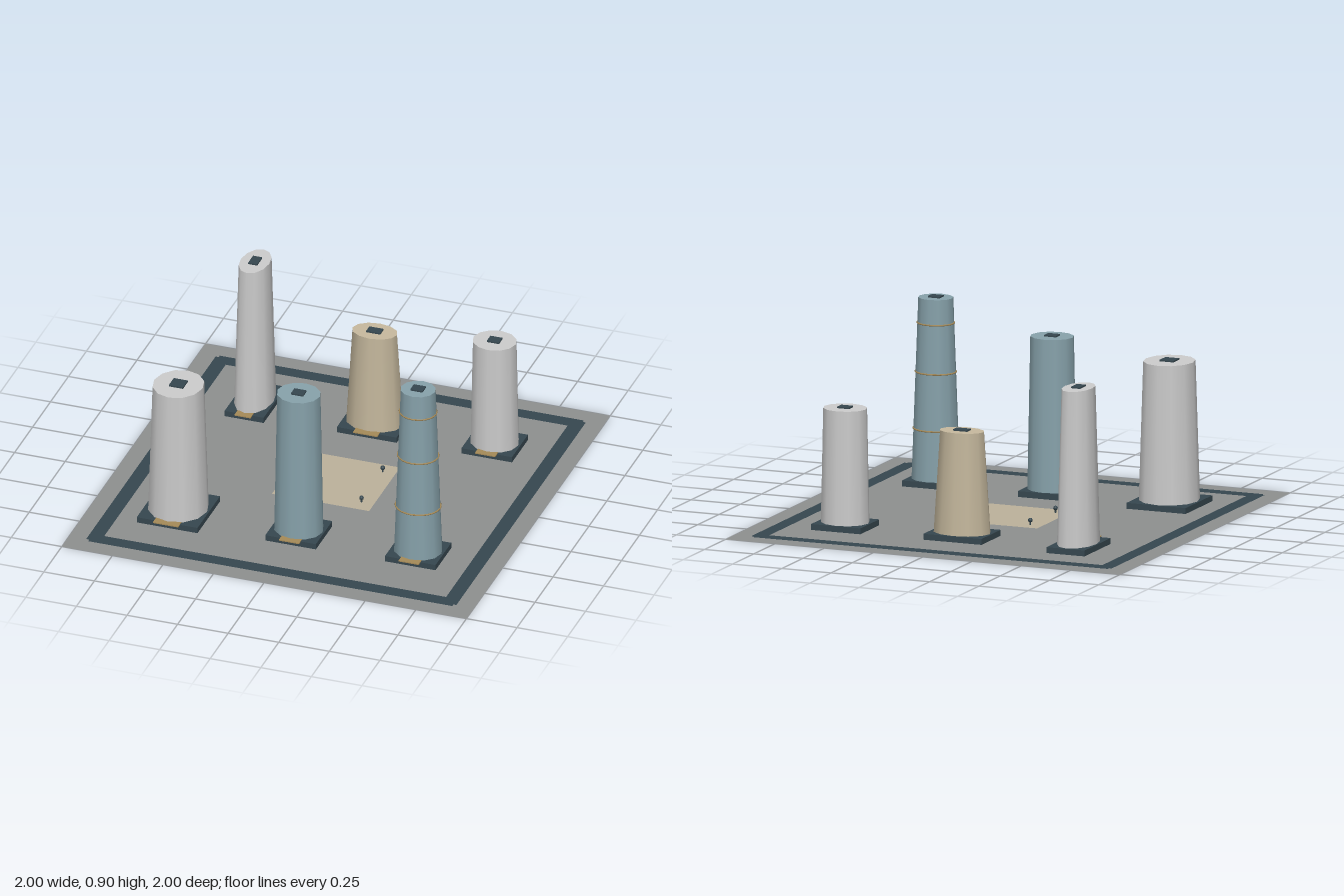
import * as THREE from 'three';

const mat = (color, side = THREE.FrontSide) => new THREE.MeshStandardMaterial({ color, side });
const slate = mat(0x36474f), pale = mat(0xcbcfcb), blue = mat(0x87a2ab);
const sand = mat(0xc6b99e), bronze = mat(0xa58a58);
const paving = mat(0x8e908f, THREE.DoubleSide), path = mat(0x36474f, THREE.DoubleSide);
const plazaStone = mat(0xbcb19a, THREE.DoubleSide);

function add(parent, name, geometry, material, x = 0, y = 0, z = 0) {
  const mesh = new THREE.Mesh(geometry, material);
  mesh.name = name;
  mesh.position.set(x, y, z);
  parent.add(mesh);
  return mesh;
}

const flat = (w, d) => new THREE.PlaneGeometry(w, d).rotateX(-Math.PI / 2);

// Tapered oval tower on a plinth, with roof hatch, entrance step and optional bands
function tower({ name, x, z, plinth: [pw, pd], base: [bw, bd], roof: [rw, rd], height, material, step, hatch, bands = [] }) {
  const g = new THREE.Group();
  g.name = name;
  g.position.set(x, 0, z);
  const y0 = 0.03;
  add(g, 'plinth', new THREE.BoxGeometry(pw, 0.028, pd), slate, 0, 0.016, 0);

  // Unit cylinder stretched to the oval found at each height
  const size = (t) => [THREE.MathUtils.lerp(bw, rw, t), THREE.MathUtils.lerp(bd, rd, t)];
  const shaft = new THREE.CylinderGeometry(0.5, 0.5, height - y0, 12, 1);
  const p = shaft.attributes.position;
  for (let i = 0; i < p.count; i++) {
    const [w, d] = size(p.getY(i) > 0 ? 1 : 0);
    p.setX(i, p.getX(i) * w);
    p.setZ(i, p.getZ(i) * d);
  }
  add(g, 'shaft', shaft, material, 0, (height + y0) / 2, 0);

  add(g, 'roofHatch', new THREE.BoxGeometry(hatch[0], 0.01, hatch[1]), slate, 0, height + 0.002, 0);
  add(g, 'entranceStep', new THREE.BoxGeometry(step, 0.005, 0.045), bronze, 0, 0.03, pd / 2);

  for (const y of bands) {
    const [w, d] = size((y - y0) / (height - y0));
    const ring = new THREE.TorusGeometry(0.5, 0.02, 6, 24).rotateX(Math.PI / 2);
    add(g, 'band', ring, bronze, 0, y, 0).scale.set(w, 0.2, d);
  }
  return g;
}

export function createModel() {
  const model = new THREE.Group();
  model.name = 'towerCourt';

  // Ground, border path and central plaza
  add(model, 'ground', flat(2, 2), paving);
  for (const s of [-1, 1]) {
    add(model, 'borderPath', flat(1.8, 0.07), path, 0, 0.002, s * 0.88);
    add(model, 'borderPath', flat(0.07, 1.8), path, s * 0.88, 0.0025, 0);
  }
  add(model, 'plaza', flat(0.48, 0.43), plazaStone, 0, 0.003, 0);

  // Plaza bollards
  for (const x of [-0.178, 0.178]) for (const z of [-0.15, 0.146]) {
    const bollard = new THREE.Group();
    bollard.name = 'bollard';
    bollard.position.set(x, 0, z);
    add(bollard, 'post', new THREE.CylinderGeometry(0.004, 0.004, 0.022, 8), slate, 0, 0.013, 0);
    add(bollard, 'lampHead', new THREE.SphereGeometry(0.011, 10, 8), slate, 0, 0.025, 0);
    model.add(bollard);
  }

  const back = -0.547, front = 0.518;
  const towers = [
    { name: 'backRightTower', x: -0.594, z: back, plinth: [0.193, 0.307], base: [0.18, 0.29],
      roof: [0.14, 0.235], height: 0.77, material: pale, step: 0.08, hatch: [0.045, 0.07] },
    { name: 'backMiddleTower', x: 0, z: back + 0.007, plinth: [0.295, 0.225], base: [0.28, 0.21],
      roof: [0.22, 0.15], height: 0.513, material: sand, step: 0.12, hatch: [0.07, 0.045] },
    { name: 'backLeftTower', x: 0.59, z: back, plinth: [0.25, 0.222], base: [0.232, 0.21],
      roof: [0.21, 0.19], height: 0.573, material: pale, step: 0.1, hatch: [0.06, 0.05] },
    { name: 'frontRightTower', x: -0.595, z: front, plinth: [0.3, 0.313], base: [0.284, 0.3],
      roof: [0.24, 0.268], height: 0.69, material: pale, step: 0.125, hatch: [0.07, 0.07] },
    { name: 'frontMiddleTower', x: 0, z: front, plinth: [0.25, 0.228], base: [0.236, 0.215],
      roof: [0.208, 0.192], height: 0.757, material: blue, step: 0.1, hatch: [0.06, 0.05] },
    { name: 'frontLeftTower', x: 0.59, z: front, plinth: [0.25, 0.22], base: [0.232, 0.21],
      roof: [0.167, 0.155], height: 0.893, material: blue, step: 0.1, hatch: [0.06, 0.05],
      bands: [0.27, 0.54, 0.773] },
  ];
  for (const t of towers) model.add(tower(t));
  return model;
}
